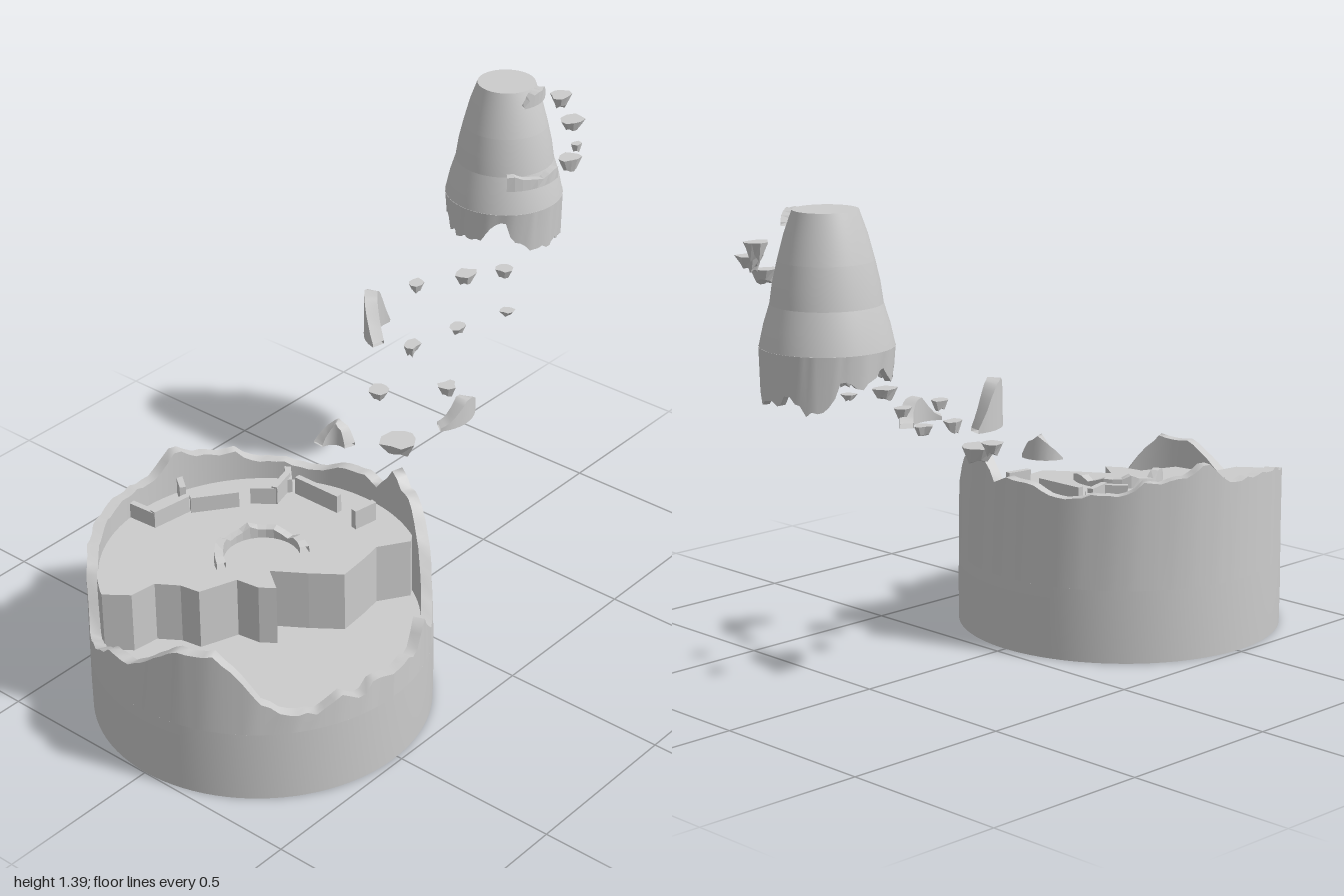
import * as THREE from 'three';
import { mergeGeometries } from 'three/addons/utils/BufferGeometryUtils.js';

const smooth = new THREE.MeshStandardMaterial({ color: 0xcccccc, side: THREE.DoubleSide });
const flat = new THREE.MeshStandardMaterial({ color: 0xcccccc, flatShading: true, side: THREE.DoubleSide });

let seed = 7;
const rand = () => (seed = (seed * 16807) % 2147483647) / 2147483647;

function add(parent, name, geometry, material, x = 0, y = 0, z = 0) {
  const mesh = new THREE.Mesh(geometry, material);
  mesh.name = name;
  mesh.position.set(x, y, z);
  parent.add(mesh);
  return mesh;
}

// Height at an angle, read from [degrees, height] keys
function heightAt(keys, deg) {
  const i = Math.max(1, keys.findIndex(k => k[0] >= deg));
  const [a, ha] = keys[i - 1], [b, hb] = keys[i];
  return ha + (hb - ha) * (deg - a) / (b - a);
}

// Curved wall between a level edge y0 and a jagged edge; 0 degrees faces +z, 90 faces +x
function brokenWall(keys, outer, inner, y0, segments, rough = 0.006) {
  const from = keys[0][0], to = keys[keys.length - 1][0];
  const rows = [];
  for (let i = 0; i <= segments; i++) {
    const deg = from + (to - from) * i / segments, t = THREE.MathUtils.degToRad(deg);
    const ends = i === 0 || i === segments;
    const h = heightAt(keys, deg) + (ends ? 0 : (rand() - 0.5) * 2 * rough);
    const dent = ends ? 0 : rand() * rough * 0.8;
    const p = (r, y) => [Math.sin(t) * r, y, Math.cos(t) * r];
    const lo = Math.min(y0, h), hi = Math.max(y0, h);
    const rLo = outer - (lo === y0 ? 0 : dent), rHi = outer - (hi === y0 ? 0 : dent);
    rows.push([p(rLo, lo), p(rHi, hi), p(inner, hi), p(inner, lo), p(rLo, lo)]);
  }
  const sides = [0, 1, 2, 3].map(k => {
    const pos = [], index = [];
    rows.forEach((row, i) => {
      pos.push(...row[k], ...row[k + 1]);
      if (i < segments) index.push(2 * i, 2 * i + 2, 2 * i + 3, 2 * i, 2 * i + 3, 2 * i + 1);
    });
    const g = new THREE.BufferGeometry();
    g.setAttribute('position', new THREE.Float32BufferAttribute(pos, 3));
    g.setIndex(index);
    g.computeVertexNormals();
    return g;
  });
  return mergeGeometries(sides);
}

// Lathe whose profile pieces stay sharp where they meet
function bands(profiles, segments = 64) {
  return mergeGeometries(profiles.map(p =>
    new THREE.LatheGeometry(p.map(([r, y]) => new THREE.Vector2(r, y)), segments)));
}

// Small fluted rock: wide irregular top, ragged narrow bottom
function rock(size, height) {
  const n = 9, g = new THREE.CylinderGeometry(1, 0.55, 1, n, 1);
  const radii = [], drops = [];
  for (let i = 0; i < n; i++) { radii.push(0.65 + rand() * 0.45); drops.push(rand() * 0.45); }
  const p = g.attributes.position;
  for (let i = 0; i < p.count; i++) {
    const x = p.getX(i), z = p.getZ(i), low = p.getY(i) < 0;
    const centre = Math.hypot(x, z) < 0.01;
    const k = Math.round((Math.atan2(x, z) / (2 * Math.PI) + 1) * n) % n;
    const r = centre ? 0 : radii[k] * size;
    p.setXYZ(i, x * r, (low ? -0.5 + (centre ? 0.2 : drops[k]) : 0.5) * height, z * r * 0.8);
  }
  g.computeVertexNormals();
  return g;
}

function makeBase() {
  const base = new THREE.Group();
  base.name = 'towerBase';
  base.position.x = -0.515;
  add(base, 'drum', bands([
    [[0, 0.01], [0.45, 0.01]], [[0.45, 0.01], [0.455, 0], [0.483, 0]],
    [[0.483, 0], [0.484, 0.1], [0.483, 0.215]], [[0.483, 0.215], [0.45, 0.215]],
  ], 96), smooth);
  const rim = [[0, 0.29], [8, 0.3], [14, 0.28], [21, 0.36], [27, 0.3], [33, 0.26], [42, 0.32], [51, 0.43],
    [58, 0.5], [65, 0.55], [69, 0.54], [74, 0.585], [84, 0.49], [90, 0.515], [102, 0.5], [112, 0.47],
    [128, 0.5], [136, 0.49], [142, 0.54], [147, 0.52], [155, 0.54], [164, 0.575], [172, 0.51], [180, 0.51],
    [192, 0.51], [205, 0.5], [216, 0.475], [226, 0.42], [231, 0.26], [241, 0.27], [253, 0.33], [265, 0.34],
    [275, 0.4], [284, 0.45], [298, 0.46], [306, 0.38], [312, 0.31], [320, 0.28], [330, 0.265], [338, 0.3],
    [346, 0.27], [353, 0.31], [360, 0.29]];
  add(base, 'brokenWall', brokenWall(rim, 0.483, 0.448, 0.215, 120), smooth);
  add(base, 'lowerFloor', new THREE.CylinderGeometry(0.452, 0.452, 0.03, 64), smooth, 0, 0.235, 0);

  // Broken upper floor filling the back half
  const edge = [[-0.385, -0.235], [-0.335, -0.17], [-0.255, -0.16], [-0.215, -0.1], [-0.205, -0.04],
    [-0.095, 0], [-0.085, 0.07], [-0.055, 0.11], [-0.005, 0.04], [0.055, 0.13], [0.115, 0.21],
    [0.215, 0.2], [0.275, 0.19], [0.36, 0.245]];
  const outline = edge.map(([x, z]) => new THREE.Vector2(x, -z));
  for (let d = 60; d <= 236; d += 8) {
    const t = THREE.MathUtils.degToRad(d);
    outline.push(new THREE.Vector2(Math.sin(t) * 0.452, -Math.cos(t) * 0.452));
  }
  const slab = new THREE.ExtrudeGeometry(new THREE.Shape(outline), { depth: 0.2, bevelEnabled: false });
  add(base, 'upperFloor', slab.rotateX(-Math.PI / 2), flat, 0, 0.235, 0);

  // Ruined inner ring and partition stubs
  const ring = [[-65, 0.455], [-45, 0.47], [-30, 0.45], [0, 0.46], [30, 0.475], [60, 0.45], [85, 0.475], [125, 0.455]];
  const ringKeys = ring.map(([d, h]) => [d + 180 - 60, h]);
  add(base, 'innerRing', brokenWall(ringKeys, 0.135, 0.108, 0.43, 16), flat, 0.025, 0, -0.015);
  const stubs = [[-0.05, -0.44, -0.045, -0.36], [-0.045, -0.36, 0.065, -0.345], [0.1, -0.39, 0.13, -0.43],
    [0.08, -0.33, 0.18, -0.255], [0.225, -0.23, 0.265, -0.18], [0.265, -0.18, 0.335, -0.2],
    [0.345, -0.16, 0.345, -0.015], [0.315, 0.08, 0.375, 0.09], [0.335, -0.19, 0.38, -0.235]];
  for (const [x1, z1, x2, z2] of stubs) {
    const h = 0.035 + rand() * 0.03;
    const stub = add(base, 'partitionStub', new THREE.BoxGeometry(Math.hypot(x2 - x1, z2 - z1) + 0.015, h, 0.018),
      flat, (x1 + x2) / 2, 0.43 + h / 2, (z1 + z2) / 2);
    stub.rotation.y = -Math.atan2(z2 - z1, x2 - x1);
  }
  return base;
}

function makeTop() {
  const top = new THREE.Group();
  top.name = 'towerTop';
  top.position.set(0.793, 0, -0.178);
  add(top, 'taperedTiers', bands([
    [[0, 1.04], [0.176, 1.04]],
    [[0.176, 1.04], [0.164, 1.095], [0.147, 1.15]],
    [[0.147, 1.15], [0.139, 1.205], [0.126, 1.262]],
    [[0.126, 1.262], [0.108, 1.33], [0.086, 1.392]],
    [[0.086, 1.392], [0, 1.392]],
  ]), smooth);
  const hem = [[0, 0.91], [15, 0.92], [28, 0.9], [45, 0.93], [60, 0.89], [78, 0.92], [90, 0.9], [105, 0.94],
    [120, 0.89], [140, 0.91], [152, 0.98], [165, 0.95], [180, 0.97], [195, 1.0], [210, 0.95], [225, 0.99],
    [240, 0.95], [262, 0.94], [272, 0.95], [285, 0.95], [295, 1.0], [310, 1.01], [318, 0.94], [330, 0.93],
    [340, 0.91], [350, 0.92], [360, 0.91]];
  add(top, 'brokenSkirt', brokenWall(hem, 0.177, 0.155, 1.04, 72, 0.008), smooth);
  // Cracked plates hanging off the front
  const upper = [[-25, 1.355], [-10, 1.385], [15, 1.39], [35, 1.385], [50, 1.36]];
  add(top, 'crackedPlate', brokenWall(upper, 0.115, 0.07, 1.35, 8, 0.003), flat);
  const lower = [[-50, 1.16], [-35, 1.155], [-10, 1.14], [15, 1.15]];
  add(top, 'crackedPlate', brokenWall(lower, 0.172, 0.12, 1.115, 8, 0.004), flat);
  return top;
}

export function createModel() {
  const model = new THREE.Group();
  model.name = 'shatteredTower';
  model.add(makeBase(), makeTop());

  // Curved wall fragments drifting between the two halves
  const shards = [
    { keys: [[165, 0.76], [178, 0.81], [195, 0.87], [212, 0.885], [228, 0.87], [245, 0.81], [258, 0.76]], r: 0.13, t: 0.04, y: 0.75, x: 0.32, z: -0.16 },
    { keys: [[-38, 0.685], [-15, 0.71], [5, 0.75], [25, 0.735], [40, 0.71], [58, 0.69]], r: 0.13, t: 0.04, y: 0.675, x: 0.13, z: 0.08 },
    { keys: [[70, 0.59], [90, 0.63], [115, 0.65], [140, 0.63], [175, 0.585]], r: 0.075, t: 0.035, y: 0.58, x: -0.115, z: -0.08 },
  ];
  for (const s of shards)
    add(model, 'wallFragment', brokenWall(s.keys, s.r, s.r - s.t, s.y, 14, 0.003), smooth, s.x, 0, s.z);

  // Floating rocks: x, y, z, radius, height
  const rocks = [[0.03, 0.58, 0.05, 0.066, 0.055], [0.137, 0.642, -0.115, 0.042, 0.04], [0.235, 0.68, 0.06, 0.034, 0.038],
    [0.285, 0.73, -0.115, 0.034, 0.038], [0.4, 0.775, -0.035, 0.032, 0.03], [0.44, 0.834, -0.23, 0.032, 0.03],
    [0.51, 0.82, 0.06, 0.028, 0.02], [0.54, 0.86, -0.115, 0.04, 0.037], [0.595, 0.89, -0.02, 0.035, 0.035],
    [0.81, 1.19, 0.052, 0.042, 0.045], [0.855, 1.222, 0.04, 0.02, 0.028], [0.92, 1.25, -0.025, 0.042, 0.04],
    [0.955, 1.292, -0.1, 0.042, 0.05]];
  for (const [x, y, z, r, h] of rocks) add(model, 'floatingRock', rock(r, h), flat, x, y, z);
  return model;
}
